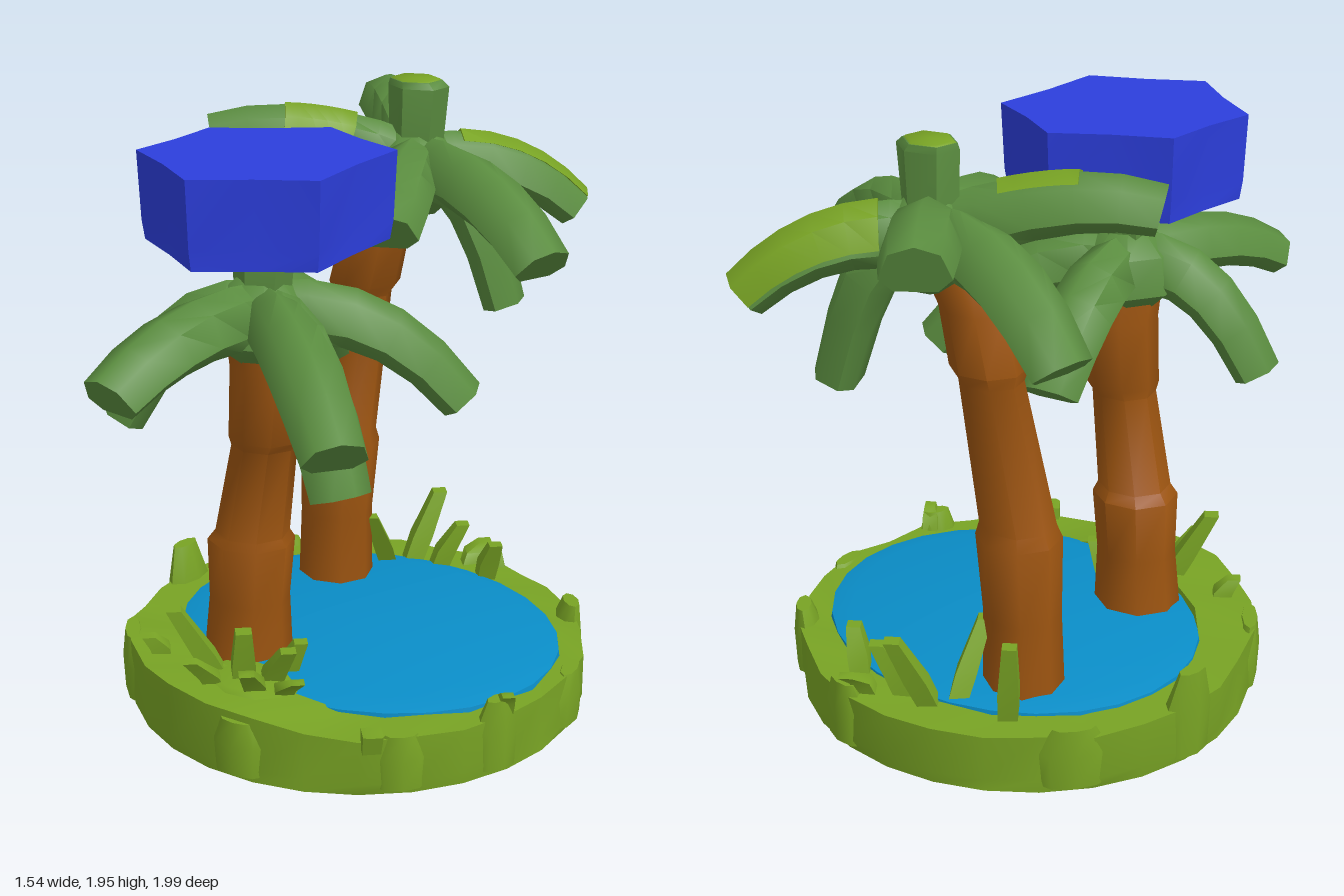
import * as THREE from 'three';
import { toCreasedNormals } from 'three/addons/utils/BufferGeometryUtils.js';

const mat = (name, color) => new THREE.MeshStandardMaterial({ name, color });
const V = (x, y, z) => new THREE.Vector3(x, y, z);

// Skin a series of equal-sized rings, with optional end caps
function loft(rings, caps = true, crease = 0.9) {
  const n = rings[0].length, pos = [];
  const tri = (...p) => p.forEach(q => pos.push(q.x, q.y, q.z));
  for (let i = 0; i < rings.length - 1; i++)
    for (let j = 0; j < n; j++) {
      const k = (j + 1) % n;
      tri(rings[i][j], rings[i][k], rings[i + 1][k]);
      tri(rings[i][j], rings[i + 1][k], rings[i + 1][j]);
    }
  if (caps) {
    const a = rings[0], b = rings[rings.length - 1];
    const mid = r => r.reduce((s, p) => s.add(p), V(0, 0, 0)).divideScalar(n);
    const ma = mid(a), mb = mid(b);
    for (let j = 0; j < n; j++) {
      const k = (j + 1) % n;
      tri(ma, a[k], a[j]);
      tri(mb, b[j], b[k]);
    }
  }
  const g = new THREE.BufferGeometry();
  g.setAttribute('position', new THREE.Float32BufferAttribute(pos, 3));
  return toCreasedNormals(g, crease);
}

// Horizontal ring, running from +z towards +x
const ring = (x, y, z, rx, rz, n, wobble = () => 0) => Array.from({ length: n }, (_, i) => {
  const a = i / n * Math.PI * 2, k = 1 + wobble(i);
  return V(x + Math.sin(a) * rx * k, y, z + Math.cos(a) * rz * k);
});

const LEAF = [[1, -0.45], [0.7, 0.65], [0, 1], [-0.7, 0.65], [-1, -0.45], [-0.6, -1], [0.6, -1]];
const PATCH = [[1, -0.3], [0.73, 0.71], [0, 1.07], [-0.6, 0.76], [0, 0.6]];

// Arched frond swept from the crown to its tip
function frondGeometry(c, tip, section, t0 = 0, t1 = 1) {
  const out = tip.clone().sub(c).setY(0);
  const knee = c.clone().addScaledVector(out, 0.57);
  knee.y = Math.max(c.y, tip.y) + 0.07;
  const curve = new THREE.QuadraticBezierCurve3(c, knee, tip);
  const rings = [];
  for (let i = 0; i <= 5; i++) {
    const t = t0 + (t1 - t0) * i / 5;
    const p = curve.getPoint(t), f = curve.getTangent(t);
    const side = V(0, 1, 0).cross(f).normalize(), up = f.clone().cross(side);
    const w = 0.075 + 0.035 * Math.sin(t * 2.4), h = 0.1 - 0.03 * t;
    rings.push(section.map(([a, b]) => p.clone().addScaledVector(side, a * w).addScaledVector(up, b * h)));
  }
  return loft(rings);
}

export function createModel() {
  const model = new THREE.Group();
  model.name = 'palmIsland';
  const leaf = mat('leaf green', 0x5a8c3f), grass = mat('grass green', 0x78a324);
  const bark = mat('bark brown', 0x9c5410), water = mat('water blue', 0x0a8dc7);
  const blue = mat('deep blue', 0x2c3edc);
  const add = (name, geo, m, parent = model) => {
    const mesh = new THREE.Mesh(geo, m);
    mesh.name = name;
    parent.add(mesh);
    return mesh;
  };

  // Rough grassy rim, underside and pool
  const N = 28, bump = i => 0.012 * Math.sin(i * 2.4) + 0.008 * Math.sin(i * 5.1);
  const rimTop = (x, z, rx, rz) => ring(x, 0, z, rx, rz, N, bump).map((p, i) => {
    p.y = (p.z > 0.3 && p.x < 0.3 ? 0.225 : 0.19) + 0.008 * Math.sin(i * 3.3);
    return p;
  });
  add('grassRim', loft([
    ring(0, 0, -0.04, 0.745, 0.735, N), ring(0, 0.04, -0.04, 0.75, 0.74, N, bump),
    rimTop(0, -0.04, 0.75, 0.74), rimTop(0.03, -0.07, 0.65, 0.56),
    ring(0.03, 0.13, -0.07, 0.64, 0.55, N),
  ], false), grass);
  const base = add('underside', new THREE.CircleGeometry(0.74, N), leaf);
  base.rotation.x = Math.PI / 2;
  base.position.set(0, 0.001, -0.04);
  add('pool', loft([
    ring(0.03, 0.14, -0.07, 0.665, 0.575, N), ring(0.03, 0.2, -0.07, 0.655, 0.565, N),
    ring(0.03, 0.218, -0.07, 0.58, 0.5, N)]), water);
  add('grassBank', loft([
    ring(0, 0.15, 0.5, 0.19, 0.15, 9), ring(0, 0.222, 0.5, 0.17, 0.12, 9),
    ring(0, 0.235, 0.52, 0.1, 0.07, 9)]), grass);

  // Slabs breaking up the outline of the rim: angle, width, height
  for (const [a, w, h] of [[-1.53, 0.13, 0.31], [1.3, 0.11, 0.255], [2.42, 0.13, 0.24], [0.15, 0.14, 0.2],
    [-0.8, 0.2, 0.23], [-2.1, 0.16, 0.22], [3.1, 0.13, 0.23], [0.85, 0.12, 0.2], [1.85, 0.15, 0.2]]) {
    const slab = add('rimSlab', loft([
      ring(0, 0.02, 0, w * 0.65, 0.045, 8), ring(0, h * 0.6, 0, w * 0.7, 0.05, 8),
      ring(0, h, 0.015, w * 0.42, 0.025, 8)]), grass);
    slab.position.set(Math.sin(a) * 0.725, 0, -0.04 + Math.cos(a) * 0.715);
    slab.rotation.y = a;
  }

  // Grass blades: foot x, foot z, tip x, tip y, tip z, half width
  const blades = [
    [-0.12, 0.48, -0.22, 0.44, 0.6, 0.045], [-0.04, 0.48, 0.0, 0.4, 0.52, 0.048],
    [0.02, 0.44, 0.13, 0.35, 0.46, 0.045], [-0.08, 0.54, -0.1, 0.32, 0.66, 0.04],
    [0.04, 0.5, 0.08, 0.31, 0.6, 0.045], [0.02, 0.35, 0.08, 0.32, 0.34, 0.04],
    [0.1, 0.48, 0.2, 0.28, 0.5, 0.04], [-0.42, -0.48, -0.45, 0.45, -0.5, 0.042],
    [-0.25, -0.55, -0.22, 0.42, -0.4, 0.042], [-0.2, -0.6, -0.16, 0.43, -0.72, 0.045],
    [-0.1, -0.62, -0.03, 0.35, -0.68, 0.042], [0.08, -0.66, 0.14, 0.33, -0.64, 0.042],
    [-0.02, -0.7, 0.0, 0.26, -0.78, 0.04], [0.7, 0.12, 0.74, 0.27, 0.15, 0.035],
    [0.5, 0.52, 0.53, 0.23, 0.54, 0.04], [-0.35, 0.5, -0.38, 0.28, 0.55, 0.04],
  ];
  for (const [x, z, tx, ty, tz, r] of blades) {
    const mx = x + (tx - x) * 0.4, mz = z + (tz - z) * 0.4;
    add('grassBlade', loft([ring(x, 0.16, z, r, r, 4), ring(mx, 0.17 + ty * 0.25, mz, r * 1.1, r * 1.1, 4),
      ring(tx, ty, tz, r * 0.75, r * 0.75, 4)]), grass);
  }

  // Palm: jointed trunk, crown, fronds and centre shoot
  function palm(name, joints, c, tips, shootTop) {
    const g = new THREE.Group();
    g.name = name;
    model.add(g);
    add('trunk', loft(joints.map(([x, y, z, r]) => ring(x, y, z, r * 1.06, r, 8))), bark, g);
    add('crown', loft([ring(c.x, c.y - 0.15, c.z, 0.08, 0.08, 8), ring(c.x, c.y - 0.07, c.z, 0.17, 0.17, 8),
      ring(c.x, c.y + 0.05, c.z, 0.15, 0.15, 8), ring(c.x, c.y + 0.12, c.z, 0.07, 0.07, 8)]), leaf, g);
    for (const [x, y, z, patchFrom, patchTo] of tips) {
      const tip = V(x, y, z);
      add('frond', frondGeometry(c, tip, LEAF), leaf, g);
      if (patchTo) add('frondHighlight', frondGeometry(c, tip, PATCH, patchFrom, patchTo), grass, g);
    }
    add('shoot', loft([ring(c.x, c.y, c.z, 0.085, 0.08, 6), ring(c.x + 0.01, shootTop - 0.02, c.z, 0.105, 0.085, 6),
      ring(c.x, shootTop, c.z, 0.09, 0.075, 6)]), leaf, g);
    return g;
  }

  palm('frontPalm', [
    [-0.175, 0.17, 0.3, 0.14], [-0.165, 0.4, 0.3, 0.125], [-0.155, 0.6, 0.3, 0.135], [-0.145, 0.63, 0.305, 0.115],
    [-0.085, 0.94, 0.31, 0.1], [-0.075, 0.97, 0.31, 0.115], [-0.06, 1.2, 0.3, 0.125], [-0.07, 1.32, 0.33, 0.11],
  ], V(-0.07, 1.37, 0.33), [
    [-0.1, 1.27, 0.965], [0.55, 1.18, 0.74], [0.35, 0.92, 0.46], [0.38, 1.09, -0.08],
    [-0.24, 1.11, -0.17], [-0.42, 1.04, 0.58],
  ], 1.62);

  const back = palm('backPalm', [
    [-0.32, 0.17, -0.33, 0.125], [-0.315, 0.45, -0.33, 0.118], [-0.3, 0.71, -0.33, 0.13], [-0.295, 0.75, -0.33, 0.115],
    [-0.26, 1.23, -0.4, 0.095], [-0.25, 1.27, -0.4, 0.115], [-0.21, 1.45, -0.41, 0.11], [-0.14, 1.62, -0.46, 0.1],
  ], V(-0.12, 1.66, -0.5), [
    [-0.55, 1.77, -0.9], [0.22, 1.5, -0.92, 0.25, 1], [0.52, 1.48, -0.31], [0.13, 1.58, -0.02],
    [-0.61, 1.77, -0.06, 0.3, 0.62], [-0.69, 1.42, -0.5], [0.12, 1.2, -0.68],
  ], 1.945);
  add('shootTip', loft([ring(-0.12, 1.943, -0.5, 0.088, 0.073, 6), ring(-0.12, 1.95, -0.5, 0.08, 0.065, 6)]), grass, back);

  // Blue canopy: six-cornered block with pinched sides
  const corners = [[0, 0.73], [0.3, 0.5], [0.24, 0.07], [-0.1, -0.04], [-0.39, 0.2], [-0.36, 0.55]];
  const canopyRing = (y, s, pinch) => corners.flatMap(([x, z], i) => {
    const [x2, z2] = corners[(i + 1) % 6], cx = -0.05, cz = 0.35;
    const p = (a, b, k) => V(cx + (a - cx) * k, y, cz + (b - cz) * k);
    return [p(x, z, s), p((x + x2) / 2, (z + z2) / 2, s * pinch)];
  });
  add('blueCanopy', loft([canopyRing(1.6, 0.95, 0.98), canopyRing(1.66, 0.975, 0.94),
    canopyRing(1.87, 1, 0.97)]), blue);
  return model;
}
